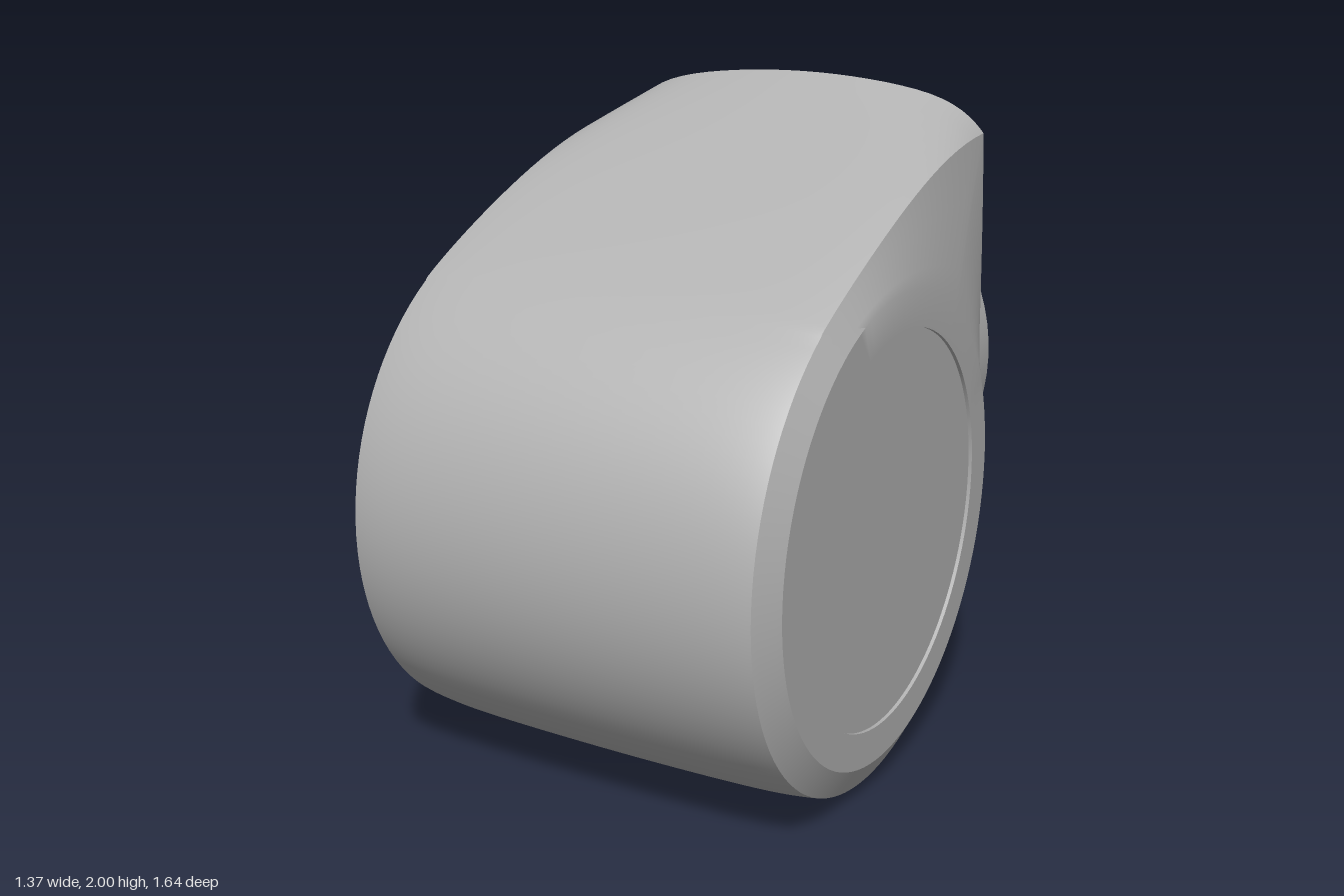
import * as THREE from 'three';
import { toCreasedNormals } from 'three/addons/utils/BufferGeometryUtils.js';

const CZ = 0.01, CY = 0.81, R = 0.81;      // axis and radius of the round part
const BACK = -0.71, SIDE = 0.685;          // flat back plane, flat side planes
const DISC = 0.7, PANEL = 0.59;            // side disc and its recessed panel
const lerp = THREE.MathUtils.lerp;

// Teardrop outline in the side plane: bottom, front, sloping top, flat back
function teardrop() {
  const pts = [];
  for (let i = 0; i <= 60; i++) {
    const a = THREE.MathUtils.degToRad(lerp(-149, 58, i / 60));
    pts.push({ z: CZ + R * Math.cos(a), y: CY + R * Math.sin(a), zone: 'round' });
  }
  const slope = new THREE.QuadraticBezierCurve(
    new THREE.Vector2(pts[60].z, pts[60].y), new THREE.Vector2(0.216, 1.639), new THREE.Vector2(BACK, 2));
  for (const p of slope.getPoints(24).slice(1)) pts.push({ z: p.x, y: p.y, zone: 'slope' });
  for (let i = 1; i <= 30; i++) pts.push({ z: BACK, y: lerp(2, 0.5, i / 30), zone: 'back' });
  pts.push({ z: -0.704, y: 0.44, zone: 'round' });
  pts.push({ ...pts[0] });
  for (const p of pts) {
    p.r = Math.hypot(p.z - CZ, p.y - CY);
    p.k = THREE.MathUtils.clamp((p.r - R) / 0.58, 0, 1);   // 0 on the circle, 1 at the peak
  }
  return pts;
}

// Crowned surface: u runs from the middle (0) to the edge (1)
function crownPoint(p, u) {
  const f = 0.5 * u ** 2 + 0.5 * Math.abs(u) ** 8;
  const x = u * (0.64 - 0.02 * p.k);
  if (p.zone === 'round') {
    const s = 1 - 0.03 * f;
    return [x, CY + (p.y - CY) * s, CZ + (p.z - CZ) * s];
  }
  const drop = p.zone === 'slope' ? 0.025 + 0.125 * p.k ** 2 : 0.15 * p.k ** 2;
  return [x, p.y - drop * f, p.z];
}

// Blend from the crown edge (v = 0) to the round flat side (v = 1)
function shoulderPoint(p, side, v) {
  const [x, y, z] = crownPoint(p, side);
  const l = Math.hypot(y - CY, z - CZ);
  return [
    lerp(x, side * SIDE, v ** (1 + 0.25 * p.k)),
    lerp(y, CY + (y - CY) / l * DISC, v),
    lerp(z, CZ + (z - CZ) / l * DISC, v),
  ];
}

function discPoint(p, side, x, radius) {
  const [, y, z] = crownPoint(p, side);
  const l = Math.hypot(y - CY, z - CZ);
  return [side * x, CY + (y - CY) / l * radius, CZ + (z - CZ) / l * radius];
}

function bodyGeometry() {
  const outline = teardrop();
  const sideRings = (side) => [
    ...[0.2, 0.4, 0.6, 0.8, 1].map((v) => (p) => shoulderPoint(p, side, v)),
    (p) => discPoint(p, side, SIDE, PANEL),
    (p) => discPoint(p, side, SIDE - 0.012, PANEL),
  ];
  const rings = sideRings(-1).reverse();
  for (let i = 0; i <= 32; i++) {
    const u = Math.sin((i / 32 - 0.5) * Math.PI);
    rings.push((p) => crownPoint(p, u));
  }
  rings.push(...sideRings(1));

  const n = outline.length, pos = [], idx = [];
  for (const ring of rings) for (const p of outline) pos.push(...ring(p));
  for (let i = 0; i < rings.length - 1; i++) {
    for (let j = 0; j < n - 1; j++) {
      const a = i * n + j, b = a + 1, c = a + n, d = c + 1;
      idx.push(a, c, d, a, d, b);
    }
  }
  const g = new THREE.BufferGeometry();
  g.setAttribute('position', new THREE.Float32BufferAttribute(pos, 3));
  g.setIndex(idx);
  return toCreasedNormals(g, 0.45);
}

export function createModel() {
  const group = new THREE.Group();
  const grey = new THREE.MeshStandardMaterial({ color: 0xb2b2b2 });
  grey.name = 'grey';
  const add = (name, geometry) => {
    const mesh = new THREE.Mesh(geometry, grey);
    mesh.name = name;
    group.add(mesh);
    return mesh;
  };

  add('body', bodyGeometry());

  // Recessed round panels on both sides
  for (const side of [-1, 1]) {
    const panel = add(side > 0 ? 'leftPanel' : 'rightPanel', new THREE.CircleGeometry(PANEL + 0.003, 64));
    panel.rotation.y = side * Math.PI / 2;
    panel.position.set(side * (SIDE - 0.011), CY, CZ);
  }

  // Round collar on the back with a thin rim and a recessed face
  const profile = [[0.63, -0.06], [0.63, 0.115], [0.602, 0.115], [0.602, 0.095], [0, 0.095]]
    .map(([r, h]) => new THREE.Vector2(r, h));
  const collar = add('backCollar', toCreasedNormals(new THREE.LatheGeometry(profile, 72), 0.5));
  collar.rotation.x = -Math.PI / 2;
  collar.position.set(0, 1.12, BACK);

  return group;
}
